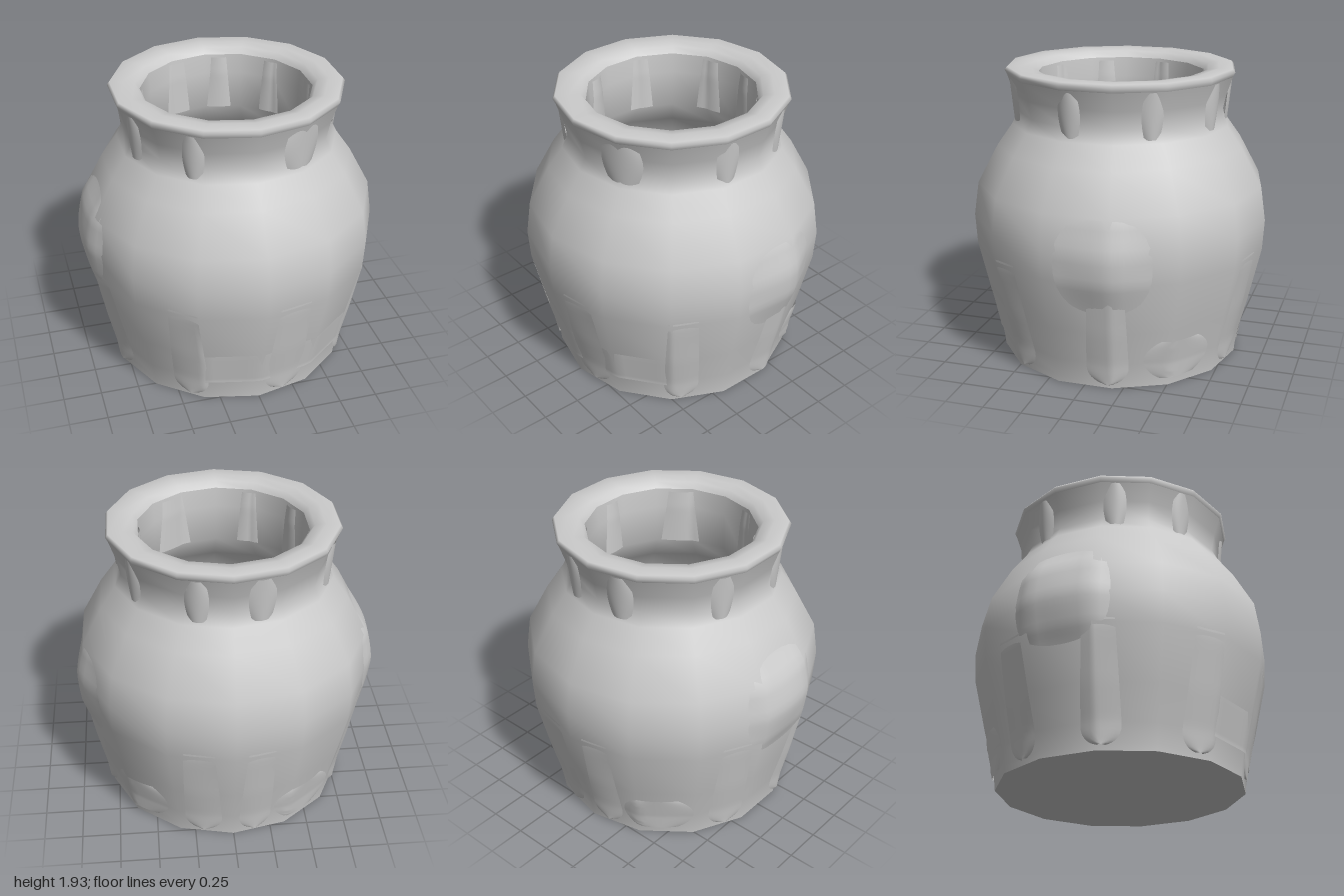
import * as THREE from 'three';

const SIDES = 14;
const STEP = (Math.PI * 2) / SIDES;
const rad = THREE.MathUtils.degToRad;

// Profiles as [radius, height]
const OUTER = [[0.805, 0], [0.81, 0.05], [0.83, 0.17], [0.89, 0.4], [0.97, 0.75], [0.982, 0.95],
  [0.95, 1.17], [0.815, 1.42], [0.715, 1.56], [0.675, 1.64], [0.7, 1.76], [0.74, 1.88]];
const RIM = [[0.74, 1.88], [0.755, 1.91], [0.74, 1.93], [0.65, 1.932], [0.58, 1.92], [0.55, 1.88]];
const INNER = [[0.55, 1.88], [0.54, 1.75], [0.54, 1.5], [0.67, 1.32], [0.8, 1.14], [0.86, 0.92],
  [0.835, 0.68], [0.74, 0.36], [0.5, 0.17], [0, 0.1]];

function radiusAt(profile, y) {
  const p = [...profile].sort((a, b) => a[1] - b[1]);
  const i = Math.max(1, p.findIndex((q) => y <= q[1]));
  const t = (y - p[i - 1][1]) / (p[i][1] - p[i - 1][1]);
  return THREE.MathUtils.lerp(p[i - 1][0], p[i][0], t);
}

// Radius of the faceted wall at an angle measured from +z towards +x
function wall(profile, y, a) {
  const local = (((a % STEP) + STEP) % STEP) - STEP / 2;
  return (radiusAt(profile, y) * Math.cos(STEP / 2)) / Math.cos(local);
}

// Curved strip: u runs across (-1..1), v up from the bottom (0..1)
function strip(angle, half, y0, y1, width, radius, inward = false) {
  const nu = 12, nv = 24, pos = [], idx = [];
  for (let j = 0; j <= nv; j++) {
    const v = (j / nv) ** 1.8; // rows crowd towards the rounded foot
    const y = y0 + (y1 - y0) * v;
    for (let i = 0; i <= nu; i++) {
      const u = (i / nu) * 2 - 1;
      const a = rad(angle + u * half * width(v));
      const r = radius(a, y, u, v);
      pos.push(Math.sin(a) * r, y, Math.cos(a) * r);
      if (i < nu && j < nv) {
        const k = j * (nu + 1) + i, n = k + nu + 1;
        if (inward) idx.push(k, n, k + 1, k + 1, n, n + 1);
        else idx.push(k, k + 1, n, k + 1, n + 1, n);
      }
    }
  }
  const g = new THREE.BufferGeometry();
  g.setAttribute('position', new THREE.Float32BufferAttribute(pos, 3));
  g.setIndex(idx);
  g.computeVertexNormals();
  return g;
}

export function createModel() {
  const model = new THREE.Group();
  model.name = 'jar';
  const solid = new THREE.MeshStandardMaterial({ color: 0xcccccc });
  const thin = new THREE.MeshStandardMaterial({ color: 0xcccccc, side: THREE.DoubleSide });
  const add = (name, geometry, material) => {
    const mesh = new THREE.Mesh(geometry, material);
    mesh.name = name;
    model.add(mesh);
  };
  const lathe = (p) => new THREE.LatheGeometry(p.map(([x, y]) => new THREE.Vector2(x, y)), SIDES);

  // Vessel
  add('body', lathe(OUTER), solid);
  add('rim', lathe(RIM), solid);
  add('cavity', lathe(INNER), solid);
  add('base', new THREE.CircleGeometry(0.805, SIDES).rotateX(Math.PI / 2).rotateY(STEP / 2), solid);

  // Round-ended glaze runs at the foot: [angle, half width]
  const tongue = (v) => {
    const k = Math.max(0, 1 - v / 0.11);
    return Math.sqrt(1 - 0.97 * k * k) * (1 - 0.5 * v);
  };
  const runs = [[-32, 9], [12, 10], [56, 8.5], [101, 10], [166, 9], [190, 8], [247, 9], [285, 9]];
  for (const [a, half] of runs) {
    add('glazeRun', strip(a, half, 0.03, 1.15, tongue, (ang, y, u, v) =>
      wall(OUTER, y, ang) + (0.022 - 0.014 * u * u) * (1 - v * 1.5)), thin);
  }

  // Broad blobs low on the back
  for (const a of [133, 215]) {
    add('glazeBlob', strip(a, 16, 0.06, 0.33, (v) => Math.sqrt(Math.sin(Math.PI * (0.1 + v * 0.8))),
      (ang, y, u, v) => wall(OUTER, y, ang) + 0.024 - 0.014 * u * u - 0.008 * v), thin);
  }

  // Straight hem joining the front runs, thinning out up the belly
  for (const a of [-10, 34]) {
    add('glazeHem', strip(a, 22, 0.15, 0.7, () => 1, (ang, y, u, v) =>
      wall(OUTER, y, ang) + 0.012 - 0.026 * v), thin);
  }

  // Ribs bridging the hollow of the neck, and drips inside it: [angle, half width]
  const ribs = [[-32, 5.5], [26, 11], [80, 6], [123, 5.5], [162, 6], [195, 7], [247, 6], [290, 6]];
  for (const [a, half] of ribs) {
    add('neckRib', strip(a, half, 1.58, 1.875, (v) => 0.75 + 0.3 * Math.sin(Math.PI * v), (ang, y, u, v) =>
      Math.max(wall(OUTER, y, ang) - 0.006, 0.698 + 0.03 * v - 0.02 * u * u)), thin);
    add('innerDrip', strip(a + 8, half + 2, 1.5, 1.86, (v) => 1.3 - 0.5 * v, (ang, y, u) =>
      wall(INNER, y, ang) - 0.01 + 0.014 * u * u, true), thin);
  }

  // Gentle side swellings of the belly
  for (const [a, y, bulge] of [[270, 1.0, 0.05], [100, 0.88, 0.035]]) {
    add('bellySwelling', strip(a, 24, y - 0.45, y + 0.4, () => 1, (ang, yy, u, v) =>
      wall(OUTER, yy, ang) - 0.006 + bulge * (1 - u * u) ** 2 * Math.sin(Math.PI * v) ** 2), thin);
  }
  return model;
}
